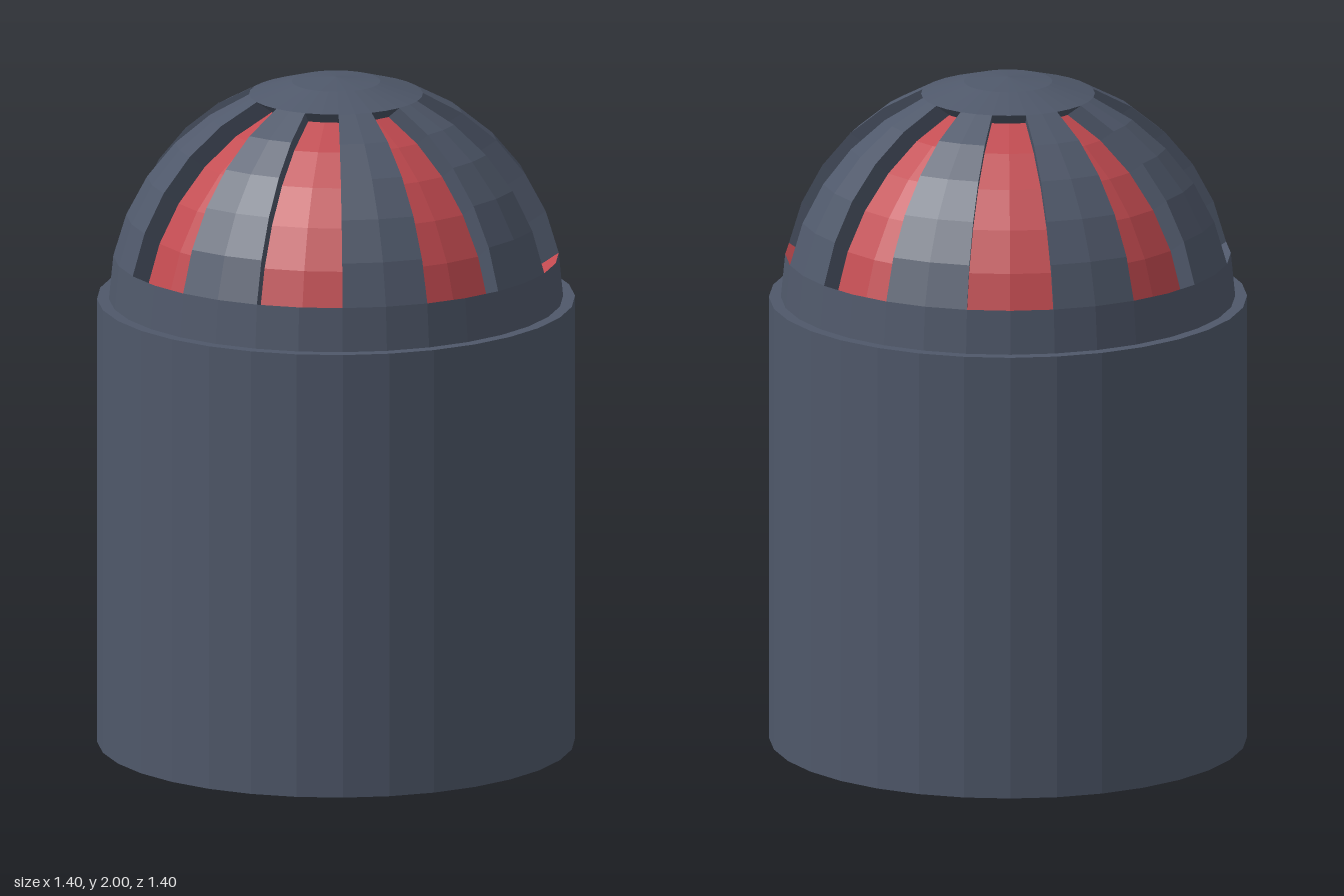
import * as THREE from 'three';

const SEG = 32, RINGS = 8, STEP = Math.PI / 16;
const BASE_R = 0.7, BASE_H = 1.335, DOME_R = 0.665;

// Point on the dome: i counts round from +z towards +x, j counts down from the top.
function domePoint(i, j) {
  return new THREE.Vector3().setFromSphericalCoords(DOME_R, j * STEP, i * STEP)
    .add(new THREE.Vector3(0, BASE_H, 0));
}

// Collects four-cornered faces, counter-clockwise from outside.
function addQuad(list, a, b, c, d) {
  for (const p of [a, b, c, a, c, d]) list.push(p.x, p.y, p.z);
}

function facesMesh(name, list, material) {
  const geometry = new THREE.BufferGeometry();
  geometry.setAttribute('position', new THREE.Float32BufferAttribute(list, 3));
  geometry.computeVertexNormals();
  const mesh = new THREE.Mesh(geometry, material);
  mesh.name = name;
  return mesh;
}

export function createModel() {
  const group = new THREE.Group();
  group.name = 'domedCapsule';
  const grey = new THREE.MeshStandardMaterial({ color: 0x4f586a, flatShading: true });
  grey.name = 'slate grey';
  const red = new THREE.MeshStandardMaterial({ color: 0xc24a50, flatShading: true, side: THREE.DoubleSide });
  red.name = 'window red';

  // Cylindrical body
  const body = new THREE.Mesh(new THREE.CylinderGeometry(BASE_R, BASE_R, BASE_H, SEG), grey);
  body.position.y = BASE_H / 2;
  body.name = 'body';
  group.add(body);

  // Dome skin, leaving eight openings two facets wide
  const TOP = 2, BOTTOM = 7;
  const skin = [];
  for (let j = 0; j < RINGS; j++) {
    for (let i = 0; i < SEG; i++) {
      const open = j >= TOP && j < BOTTOM && (i % 4 === 0 || i % 4 === 3);
      if (!open) addQuad(skin, domePoint(i, j + 1), domePoint(i + 1, j + 1), domePoint(i + 1, j), domePoint(i, j));
    }
  }
  group.add(facesMesh('dome', skin, grey));

  // Sunken windows: each panel is pushed straight in along its middle direction
  for (let k = 0; k < 8; k++) {
    const mid = k * 4, az = mid * STEP;
    const push = new THREE.Vector3(-0.054 * Math.sin(az), -0.038, -0.054 * Math.cos(az));
    const outer = domePoint;
    const inner = (i, j) => domePoint(i, j).add(push);
    const panel = [], walls = [], sill = [];
    const l = mid - 1, r = mid + 1;
    for (let j = TOP; j < BOTTOM; j++) {
      for (let i = l; i < r; i++) addQuad(panel, inner(i, j + 1), inner(i + 1, j + 1), inner(i + 1, j), inner(i, j));
      addQuad(walls, outer(l, j + 1), inner(l, j + 1), inner(l, j), outer(l, j));
      addQuad(walls, inner(r, j + 1), outer(r, j + 1), outer(r, j), inner(r, j));
    }
    for (let i = l; i < r; i++) {
      addQuad(walls, inner(i, TOP), inner(i + 1, TOP), outer(i + 1, TOP), outer(i, TOP));
      addQuad(sill, outer(i, BOTTOM), outer(i + 1, BOTTOM), inner(i + 1, BOTTOM), inner(i, BOTTOM));
    }
    const window = new THREE.Group();
    window.name = 'window' + (k + 1);
    window.add(facesMesh('windowPanel', panel, red), facesMesh('windowFrame', walls, grey));
    // The back left sill is red
    window.add(facesMesh('windowSill', sill, k === 3 ? red : grey));
    group.add(window);
  }
  return group;
}
